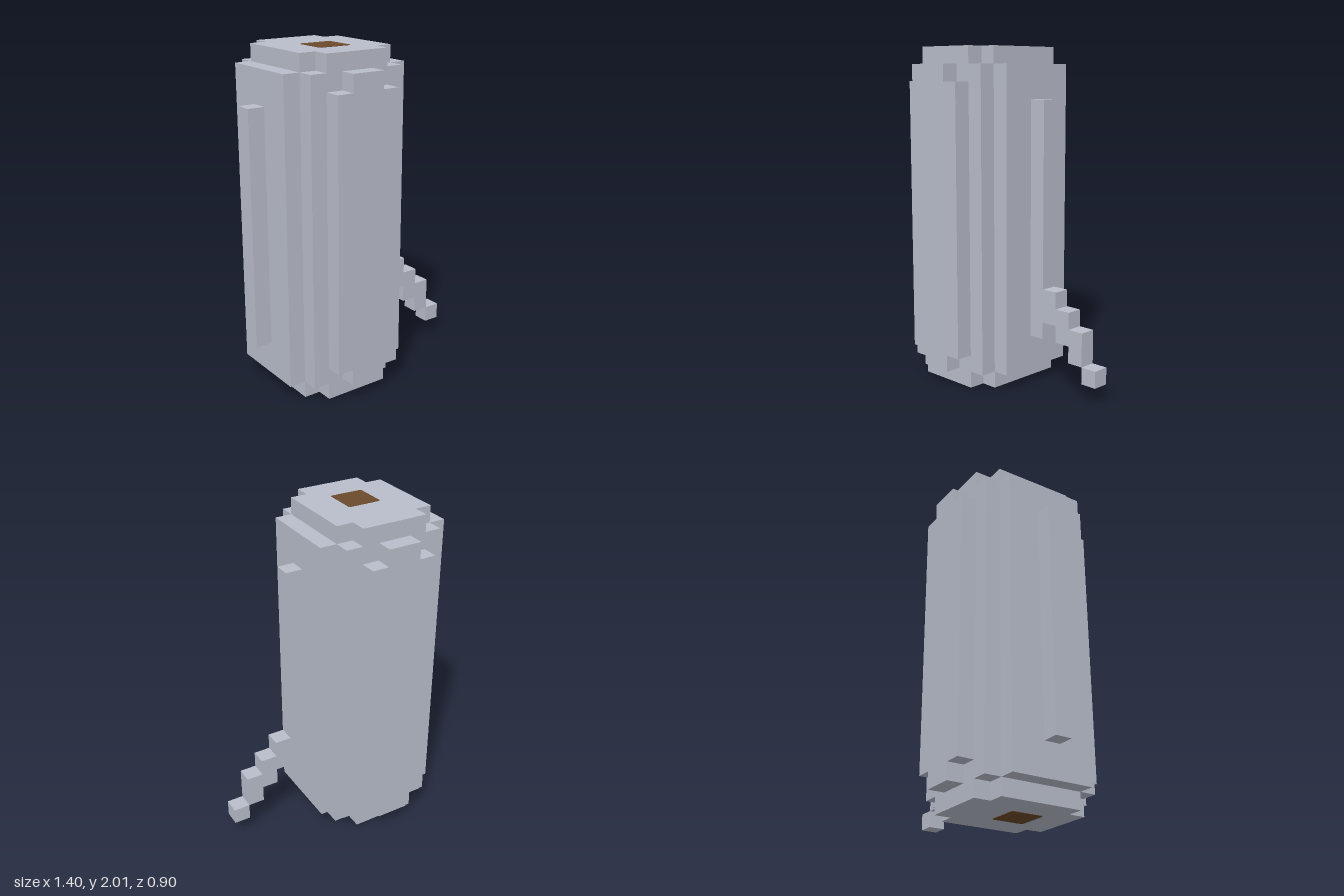
import * as THREE from 'three';

const CX = -0.2; // centre line of the main body

export function createModel() {
  const model = new THREE.Group();
  const shell = new THREE.MeshStandardMaterial({ color: 0xb9becb });
  shell.name = 'paleGrey';
  const core = new THREE.MeshStandardMaterial({ color: 0x6b4a2b });
  core.name = 'brown';

  const add = (name, geometry, material, x = 0, y = 0, z = 0) => {
    const mesh = new THREE.Mesh(geometry, material);
    mesh.name = name;
    mesh.position.set(x, y, z);
    model.add(mesh);
    return mesh;
  };
  const extrude = (points, depth) => new THREE.ExtrudeGeometry(
    new THREE.Shape(points.map(([x, y]) => new THREE.Vector2(x, y))),
    { depth, bevelEnabled: false });

  // Rectangle of half size w by h with a notch of size s cut from each corner
  const notched = (w, h, s) => [
    [w, -h + s], [w, h - s], [w - s, h - s], [w - s, h],
    [-w + s, h], [-w + s, h - s], [-w, h - s], [-w, -h + s],
    [-w + s, -h + s], [-w + s, -h], [w - s, -h], [w - s, -h + s],
  ];
  const upright = (points, height) => extrude(points, height).rotateX(-Math.PI / 2);

  // Main column and the smaller caps at both ends
  add('body', upright(notched(0.4, 0.35, 0.1), 1.8), shell, CX, 0.1, 0);
  for (const [name, y] of [['bottomCap', 0], ['topCap', 1.9]]) {
    add(name, upright(notched(0.3, 0.35, 0.1), 0.1), shell, CX, y, 0);
  }

  // Raised panels on the front and back
  for (const [name, z] of [['frontPanel', 0.35], ['backPanel', -0.45]]) {
    add(name, extrude(notched(0.2, 0.9, 0.1), 0.1), shell, CX, 1, z);
  }

  // Plain rib on one side
  add('rightRib', new THREE.BoxGeometry(0.1, 1.4, 0.1), shell, -0.65, 1, 0);

  // Rib on the other side with a stair-stepped arm and a loose-set end block
  add('leftRibAndArm', extrude([
    [0.2, 0.3], [0.3, 0.3], [0.3, 0.4], [0.4, 0.4], [0.4, 0.3], [0.5, 0.3],
    [0.5, 0.2], [0.6, 0.2], [0.6, 0.4], [0.5, 0.4], [0.5, 0.5], [0.4, 0.5],
    [0.4, 0.6], [0.3, 0.6], [0.3, 1.7], [0.2, 1.7],
  ], 0.1), shell, 0, 0, -0.05);
  add('armTip', new THREE.BoxGeometry(0.1, 0.1, 0.1), shell, 0.65, 0.15, 0);

  // Brown core showing at the top and bottom
  for (const [name, y] of [['topCore', 2], ['bottomCore', 0]]) {
    add(name, upright(notched(0.1, 0.1, 0.006), 0.006), core, CX, y - 0.003, 0.05);
  }

  return model;
}
